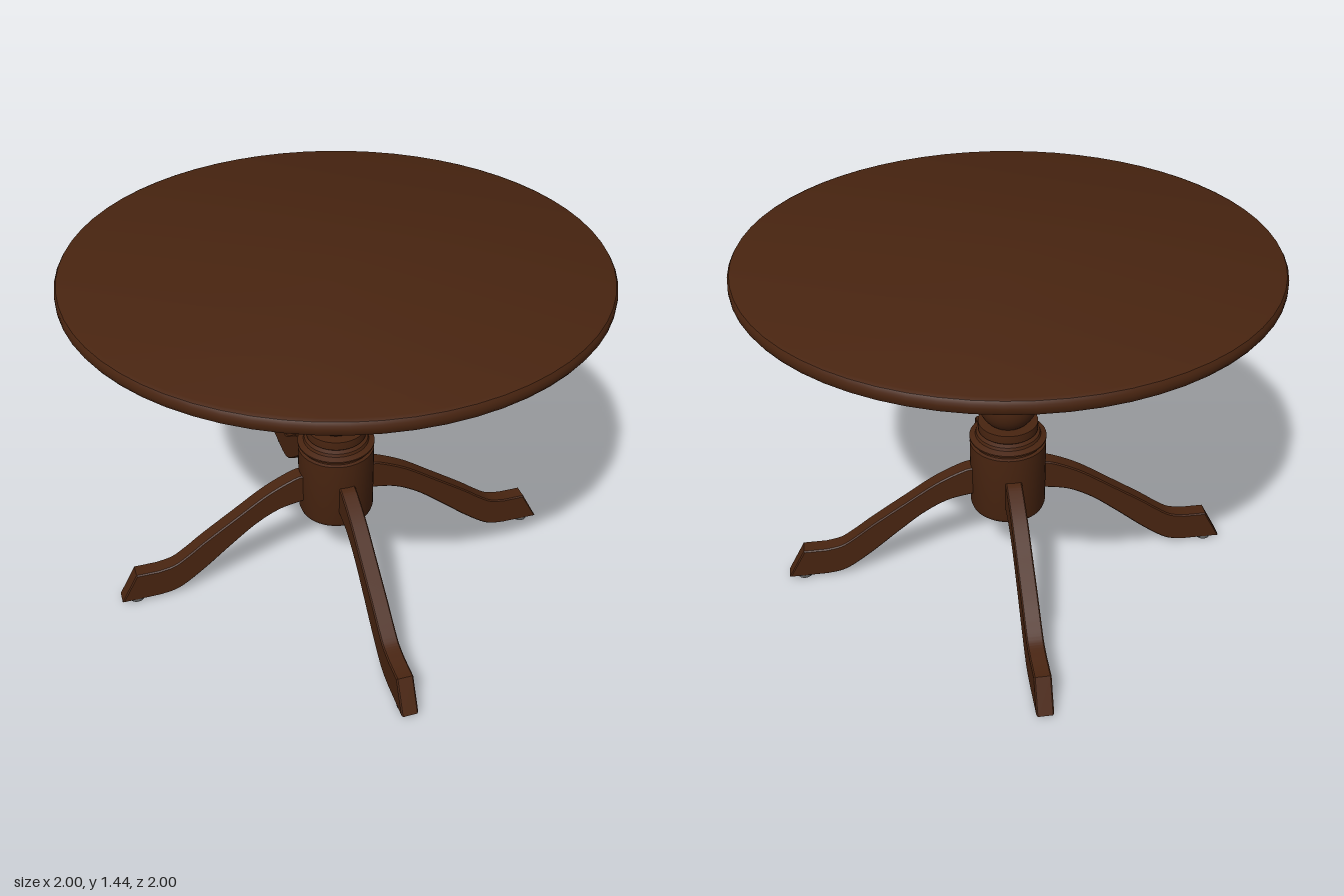
import * as THREE from 'three';
import { toCreasedNormals } from 'three/addons/utils/BufferGeometryUtils.js';

const material = (name, color) => {
  const m = new THREE.MeshStandardMaterial({ color });
  m.name = name;
  return m;
};

export function createModel() {
  const wood = material('dark wood', 0x482410);
  const steel = material('steel', 0x808080);
  const slotDark = material('dark slot', 0x303030);
  const padGrey = material('pad grey', 0x5c5c5c);

  const table = new THREE.Group();
  table.name = 'pedestalTable';

  const add = (parent, name, geometry, mat) => {
    const mesh = new THREE.Mesh(geometry, mat);
    mesh.name = name;
    parent.add(mesh);
    return mesh;
  };
  // Turned part from a bottom-to-top list of [radius, height]
  const turned = (points, segments) => toCreasedNormals(
    new THREE.LatheGeometry(points.map(([r, y]) => new THREE.Vector2(r, y)), segments), 0.6);

  // Round top with a softened rim
  add(table, 'tableTop', turned([
    [0, 1.38], [0.98, 1.38], [0.992, 1.385], [0.999, 1.396], [1, 1.409],
    [0.999, 1.422], [0.992, 1.433], [0.98, 1.438], [0, 1.438],
  ], 64), wood);

  // Mounting plate under the top
  add(table, 'mountingPlate', turned([[0, 1.347], [0.308, 1.347], [0.308, 1.381], [0, 1.381]], 48), wood);

  // Ball section of the column, from neck to neck
  const ball = (cy) => Array.from({ length: 13 }, (_, i) => {
    const a = THREE.MathUtils.lerp(-0.85, 0.85, i / 12);
    return [0.12 * Math.cos(a), cy + 0.12 * Math.sin(a)];
  });

  // Turned column: base drum, collar, two balls, upper collar, top drum
  add(table, 'column', turned([
    [0, 0.287], [0.14, 0.287], [0.149, 0.295], [0.154, 0.31], [0.154, 0.602],
    [0.142, 0.606], [0.142, 0.615], [0.155, 0.622], [0.155, 0.628], [0.132, 0.636],
    [0.128, 0.648], [0.112, 0.655], [0.12, 0.662], [0.121, 0.68], [0.12, 0.698], [0.082, 0.7],
    ...ball(0.79), ...ball(0.967),
    [0.082, 1.056], [0.119, 1.056], [0.12, 1.09], [0.124, 1.108], [0.135, 1.117],
    [0.146, 1.12], [0.147, 1.132], [0.138, 1.138], [0.158, 1.143], [0.166, 1.155],
    [0.166, 1.17], [0.158, 1.182], [0.154, 1.187], [0.154, 1.348],
  ], 48), wood);

  // Side outline of a leg: x is the distance from the column axis
  const v = (x, y) => new THREE.Vector2(x, y);
  const outline = new THREE.Shape();
  outline.moveTo(0.1, 0.497);
  outline.lineTo(0.14, 0.496);
  outline.splineThru([v(0.19, 0.485), v(0.3, 0.432), v(0.434, 0.342), v(0.568, 0.25),
    v(0.64, 0.196), v(0.7, 0.158), v(0.765, 0.144)]);
  outline.lineTo(0.858, 0.144);
  outline.lineTo(0.928, 0.013);
  outline.lineTo(0.77, 0.013);
  outline.splineThru([v(0.69, 0.03), v(0.587, 0.1), v(0.455, 0.21), v(0.35, 0.292),
    v(0.25, 0.345), v(0.15, 0.366)]);
  outline.lineTo(0.1, 0.366);
  outline.closePath();

  const legWidth = 0.066, bevel = 0.005;
  const legGeometry = toCreasedNormals(new THREE.ExtrudeGeometry(outline, {
    depth: legWidth - 2 * bevel, curveSegments: 24, bevelEnabled: true,
    bevelThickness: bevel, bevelSize: bevel, bevelOffset: -bevel, bevelSegments: 1,
  }).translate(0, 0, bevel - legWidth / 2), 0.5);

  const padGeometry = new THREE.CylinderGeometry(0.03, 0.03, 0.016, 20).translate(0.865, 0.008, 0);
  const headGeometry = turned([[0, 1.332], [0.014, 1.334], [0.022, 1.339], [0.025, 1.348]], 20);
  const slotGeometry = new THREE.BoxGeometry(0.026, 0.006, 0.006);

  const turn = THREE.MathUtils.degToRad(37.3 - 90);
  for (let i = 0; i < 4; i++) {
    const angle = turn + i * Math.PI / 2;

    // Four curved legs, each with a floor pad
    const leg = new THREE.Group();
    leg.name = 'leg' + (i + 1);
    leg.rotation.y = angle;
    add(leg, 'curvedLeg', legGeometry, wood);
    add(leg, 'floorPad', padGeometry, padGrey);
    table.add(leg);

    // Three screws holding the plate to the top
    if (i < 3) {
      const screw = new THREE.Group();
      screw.name = 'screw' + (i + 1);
      screw.position.set(0.25 * Math.cos(angle), 0, -0.25 * Math.sin(angle));
      add(screw, 'screwHead', headGeometry, steel);
      for (const a of [0, Math.PI / 2]) {
        const slot = add(screw, 'screwSlot', slotGeometry, slotDark);
        slot.position.y = 1.334;
        slot.rotation.y = a;
      }
      table.add(screw);
    }
  }
  return table;
}
